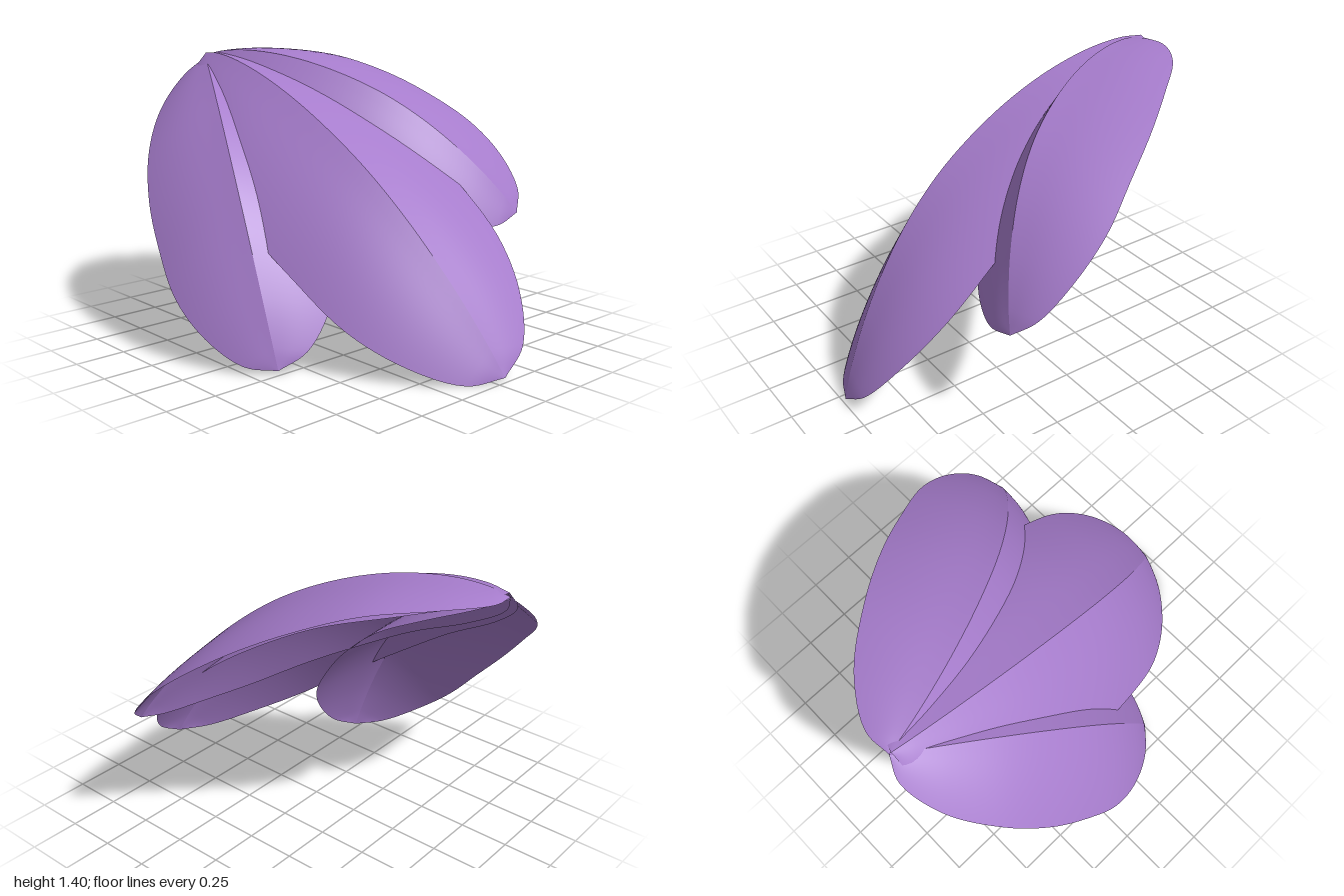
import * as THREE from 'three';

const petalPurple = new THREE.MeshStandardMaterial({ color: 0xa67ccc, side: THREE.DoubleSide });
petalPurple.name = 'petalPurple';

const curve = (points) => new THREE.CatmullRomCurve3(points.map((p) => new THREE.Vector3(...p)));

// Outline edge and raised midrib of one petal of length 1: x along, y up, z sideways
const edgeCurve = curve([
  [0, 0, 0], [0.03, -0.016, 0.065], [0.14, -0.004, 0.15], [0.3, 0.025, 0.207], [0.46, 0.035, 0.23],
  [0.61, 0.035, 0.228], [0.76, 0.025, 0.21], [0.88, 0.015, 0.158], [0.97, 0.003, 0.08], [1, 0, 0],
]);
const ribCurve = curve([
  [0, 0, 0], [0.04, 0.036, 0], [0.12, 0.083, 0], [0.24, 0.128, 0], [0.38, 0.156, 0],
  [0.54, 0.162, 0], [0.69, 0.138, 0], [0.84, 0.087, 0], [0.95, 0.032, 0], [1, 0, 0],
]);

// Height across a half petal: pinched at the midrib, rolled down at the rim
const fall = (q) => 0.12 * (1 - q) ** 6 + 0.88 * (1 - q ** 1.5);

function petalGeometry() {
  const rows = 54, cols = 18, pos = [], index = [];
  for (const side of [1, -1]) {
    const start = pos.length / 3;
    for (let i = 0; i <= rows; i++) {
      const rib = ribCurve.getPoint(i / rows), edge = edgeCurve.getPoint(i / rows);
      for (let j = 0; j <= cols; j++) {
        const q = j / cols;
        pos.push(
          rib.x + (edge.x - rib.x) * q,
          edge.y + (rib.y - edge.y) * fall(q),
          side * edge.z * q,
        );
      }
    }
    for (let i = 0; i < rows; i++) {
      for (let j = 0; j < cols; j++) {
        const a = start + i * (cols + 1) + j, b = a + 1, c = a + cols + 1, d = c + 1;
        if (side > 0) index.push(a, b, c, b, d, c);
        else index.push(a, c, b, b, c, d);
      }
    }
  }
  const geo = new THREE.BufferGeometry();
  geo.setAttribute('position', new THREE.Float32BufferAttribute(pos, 3));
  geo.setIndex(index);
  geo.computeVertexNormals();
  return geo;
}

export function createModel() {
  const model = new THREE.Group();
  model.name = 'petals';
  const geo = petalGeometry();

  // Each petal runs from its base to its tip, with its back facing "up"
  const addPetal = (name, base, tip, up, height, width) => {
    const along = new THREE.Vector3(...tip).sub(new THREE.Vector3(...base));
    const length = along.length();
    along.normalize();
    const n = new THREE.Vector3(...up);
    n.addScaledVector(along, -n.dot(along)).normalize();
    const across = new THREE.Vector3().crossVectors(along, n);
    const petal = new THREE.Mesh(geo, petalPurple);
    petal.name = name;
    petal.quaternion.setFromRotationMatrix(new THREE.Matrix4().makeBasis(along, n, across));
    petal.scale.set(length, length * height, length * width);
    petal.position.set(...base);
    model.add(petal);
  };
  addPetal('middlePetal', [-0.155, 1.375, -0.95], [0.05, 0.025, 0.99], [-0.355, 0.753, 0.553], 0.96, 0.95);
  addPetal('leftPetal', [-0.15, 1.36, -0.96], [0.72, 0.6, 0.5], [-0.27, 0.775, 0.575], 1.1, 1.02);
  addPetal('rightPetal', [-0.15, 1.35, -0.96], [-0.65, 0.03, 0.25], [-0.505, 0.675, 0.535], 0.96, 1);
  return model;
}
